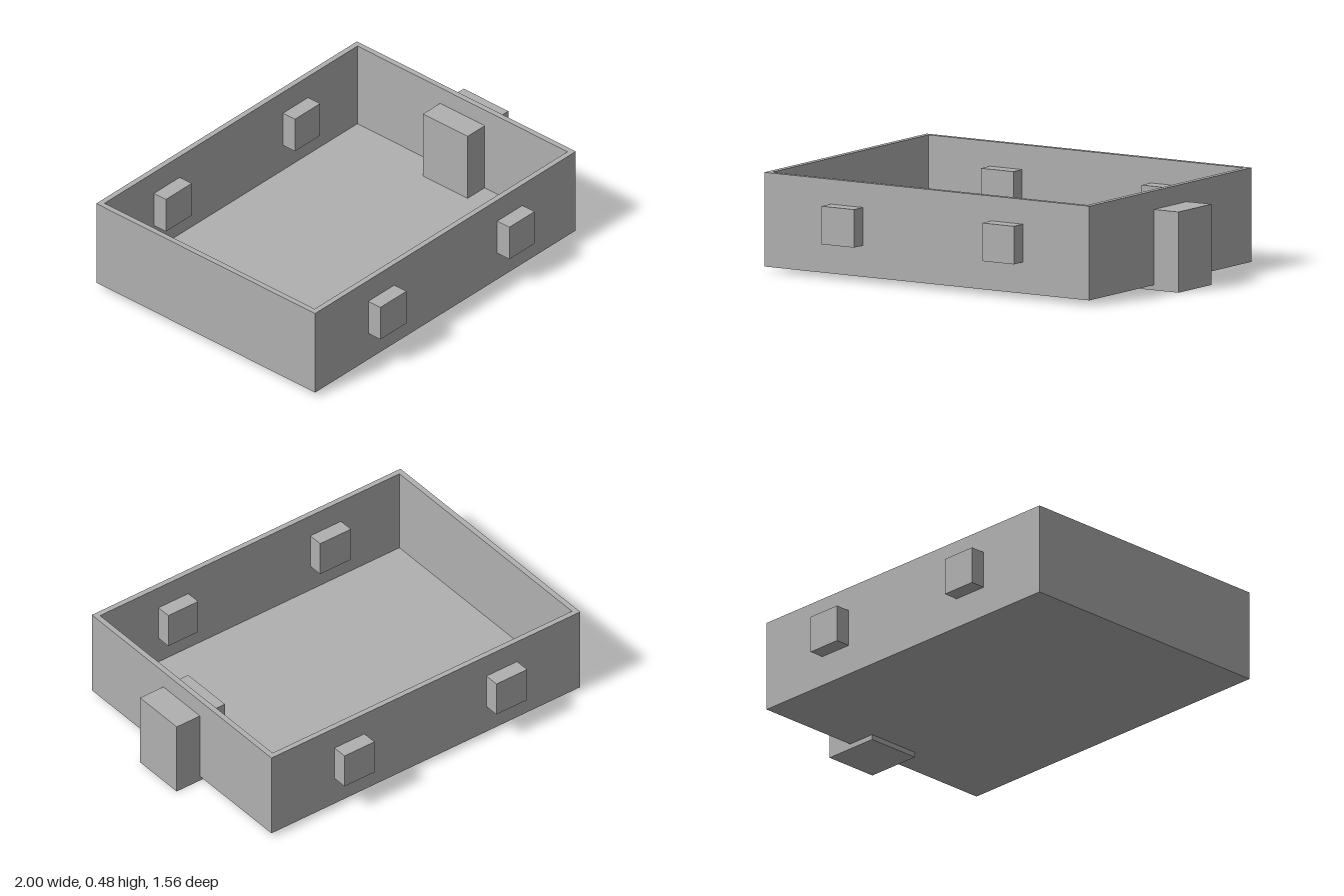
import * as THREE from 'three';

export function createModel() {
  const model = new THREE.Group();
  const grey = new THREE.MeshStandardMaterial({ color: 0xb0b0b0 });
  grey.name = 'grey';

  const addBox = (name, [x0, x1], [y0, y1], [z0, z1]) => {
    const mesh = new THREE.Mesh(new THREE.BoxGeometry(x1 - x0, y1 - y0, z1 - z0), grey);
    mesh.name = name;
    mesh.position.set((x0 + x1) / 2, (y0 + y1) / 2, (z0 + z1) / 2);
    model.add(mesh);
  };

  const left = -1, right = 0.86, depth = 0.702, wall = 0.028;
  const bottom = 0.025, top = 0.48, floor = 0.008;

  // Open tray walls: a rectangular frame extruded upwards
  const rectangle = (path, x0, x1, z) => path
    .moveTo(x0, -z).lineTo(x1, -z).lineTo(x1, z).lineTo(x0, z).closePath();
  const frame = new THREE.Shape();
  rectangle(frame, left, right, depth);
  const opening = new THREE.Path();
  rectangle(opening, left + wall, right - wall, depth - wall);
  frame.holes.push(opening);
  const wallGeometry = new THREE.ExtrudeGeometry(frame, { depth: top - bottom, bevelEnabled: false });
  wallGeometry.rotateX(-Math.PI / 2).translate(0, bottom, 0);
  const walls = new THREE.Mesh(wallGeometry, grey);
  walls.name = 'trayWalls';
  model.add(walls);

  // Thin floor between the walls
  addBox('trayFloor', [left + wall, right - wall], [bottom, bottom + floor], [wall - depth, depth - wall]);

  // Blocks passing through the long walls
  for (const [x0, x1] of [[-0.62, -0.435], [0.3, 0.48]]) {
    addBox('frontBlock', [x0, x1], [0.176, 0.36], [0.597, 0.78]);
    addBox('backBlock', [x0, x1], [0.176, 0.36], [-0.78, -0.597]);
  }

  // Larger block through the end wall, reaching the ground
  addBox('endBlock', [0.71, 1], [0, 0.39], [-0.143, 0.143]);

  return model;
}
